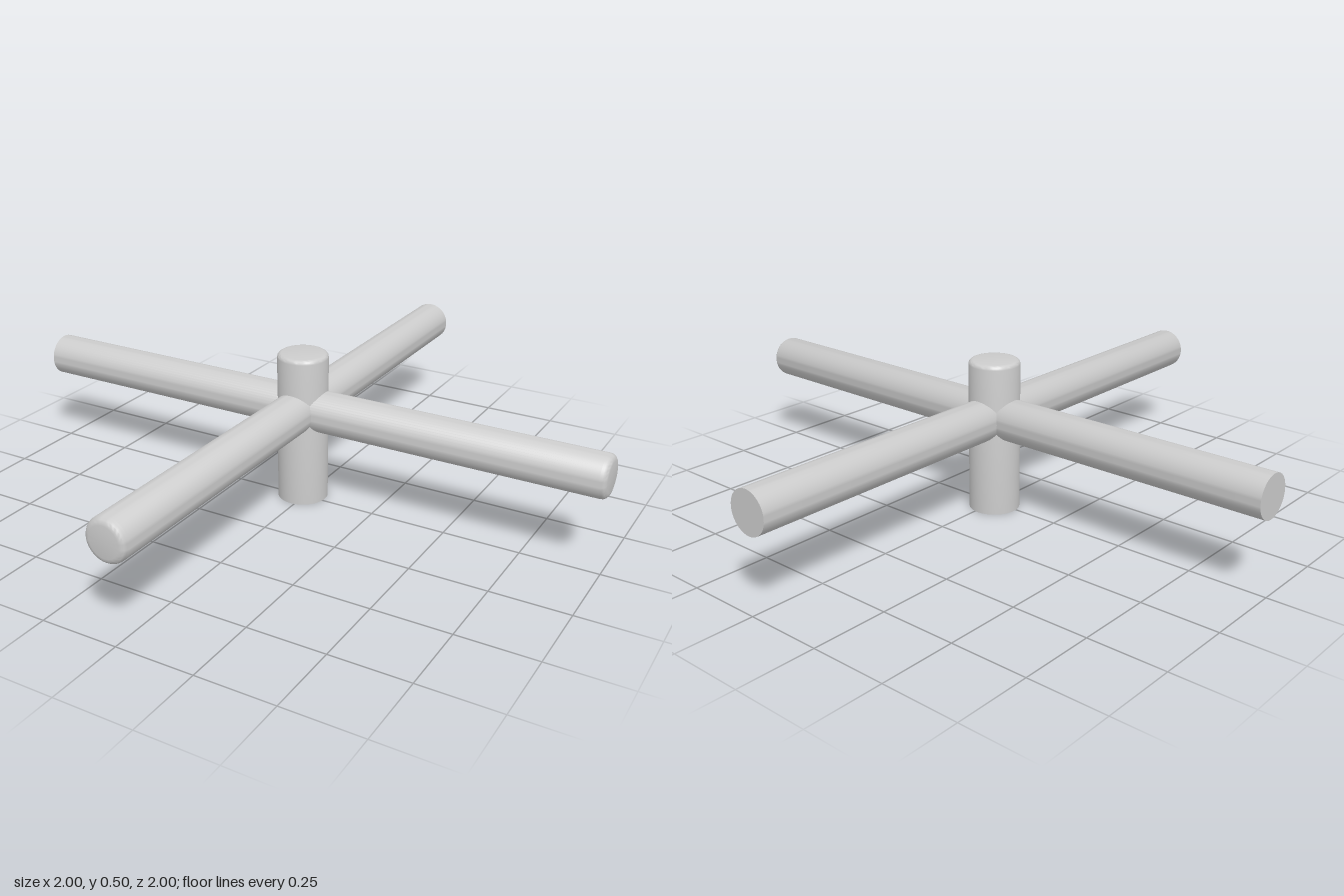
import * as THREE from 'three';
import { toCreasedNormals } from 'three/addons/utils/BufferGeometryUtils.js';

const CENTRE = -0.013; // the hub sits slightly off the middle
const ROD_HEIGHT = 0.312;

// Round bar along +y: flat at the start, softly rounded edge at the far end
function barGeometry(radius, length, bevel) {
  const profile = [new THREE.Vector2(0, 0), new THREE.Vector2(radius, 0)];
  const steps = 4;
  for (let i = 0; i <= steps; i++) {
    const a = (i / steps) * Math.PI / 2;
    profile.push(new THREE.Vector2(
      radius - bevel + bevel * Math.cos(a),
      length - bevel + bevel * Math.sin(a)
    ));
  }
  profile.push(new THREE.Vector2(0, length));
  return toCreasedNormals(new THREE.LatheGeometry(profile, 48), 0.7);
}

export function createModel() {
  const group = new THREE.Group();
  const material = new THREE.MeshStandardMaterial({ color: 0xcccccc });

  const addBar = (name, geometry) => {
    const mesh = new THREE.Mesh(geometry, material);
    mesh.name = name;
    group.add(mesh);
    return mesh;
  };

  // Upright post
  addBar('post', barGeometry(0.082, 0.5, 0.014)).position.set(CENTRE, 0, CENTRE);

  // Two crossing rods, rounded at +x and +z
  const rod = barGeometry(0.068, 2, 0.02);
  const sideRod = addBar('sideRod', rod);
  sideRod.rotation.z = -Math.PI / 2;
  sideRod.position.set(-1, ROD_HEIGHT, CENTRE);

  const frontRod = addBar('frontRod', rod);
  frontRod.rotation.x = Math.PI / 2;
  frontRod.position.set(CENTRE, ROD_HEIGHT, -1);

  return group;
}
